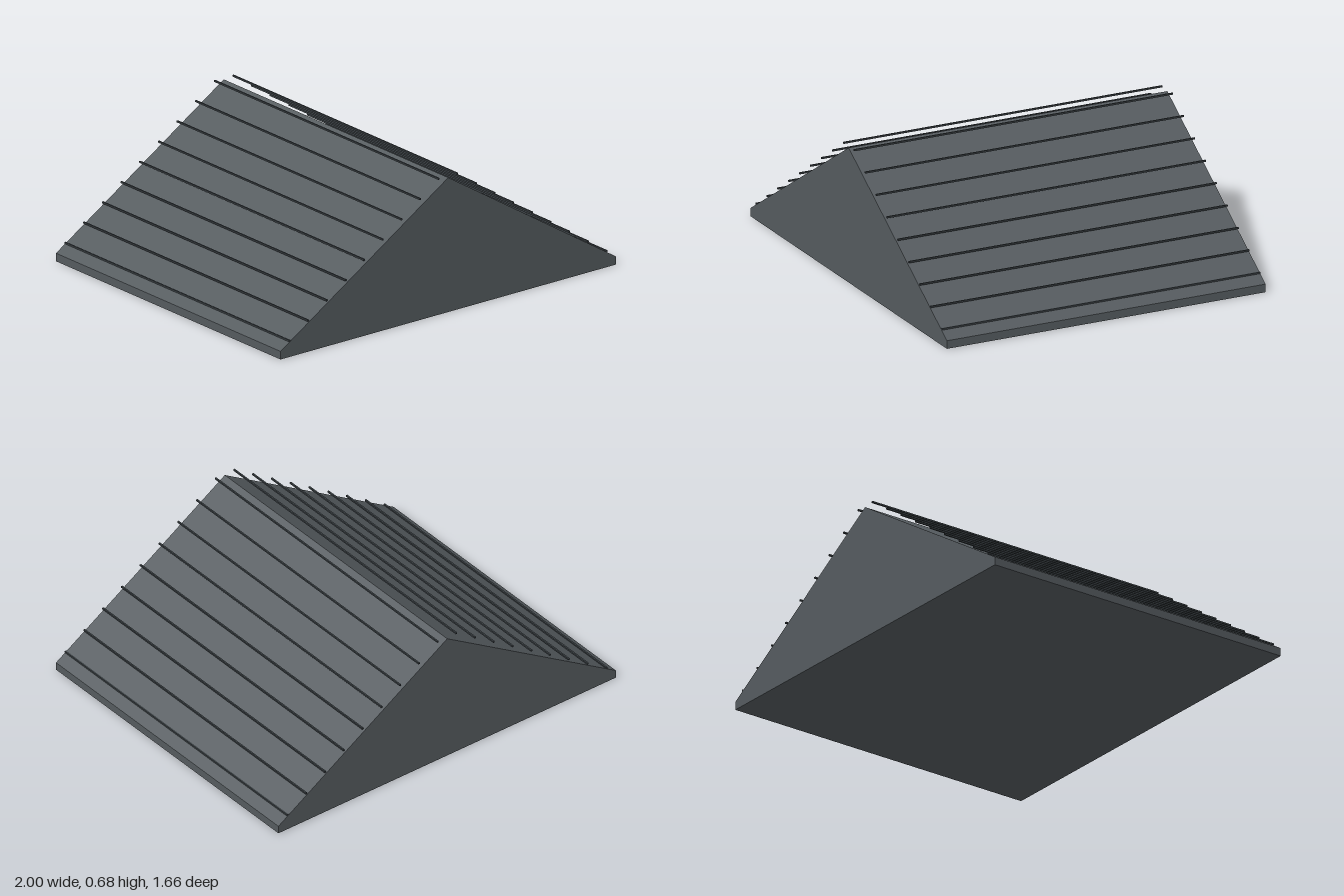
import * as THREE from 'three';

export function createModel() {
  const model = new THREE.Group();
  model.name = 'gableRoof';

  const slate = new THREE.MeshStandardMaterial({ color: 0x555b5f });
  slate.name = 'slate grey';
  const dark = new THREE.MeshStandardMaterial({ color: 0x3a4044 });
  dark.name = 'dark seam grey';

  const depth = 1.664;

  // Solid gable with a low vertical edge at the eaves
  const profile = new THREE.Shape([
    new THREE.Vector2(-1, 0),
    new THREE.Vector2(1, 0),
    new THREE.Vector2(1, 0.04),
    new THREE.Vector2(0, 0.667),
    new THREE.Vector2(-1, 0.04),
  ]);
  const gableGeometry = new THREE.ExtrudeGeometry(profile, { depth, bevelEnabled: false });
  gableGeometry.translate(0, 0, -depth / 2);
  const gable = new THREE.Mesh(gableGeometry, slate);
  gable.name = 'roofBody';
  model.add(gable);

  // Thin battens running front to back, stepping down both slopes
  const count = 9;
  const battenGeometry = new THREE.BoxGeometry(0.008, 0.008, depth);
  for (const side of [-1, 1]) {
    for (let i = 0; i < count; i++) {
      const t = i / (count - 1);
      const batten = new THREE.Mesh(battenGeometry, dark);
      batten.name = side > 0 ? 'leftBatten' : 'rightBatten';
      batten.position.set(
        side * THREE.MathUtils.lerp(0.055, 0.945, t),
        THREE.MathUtils.lerp(0.673, 0.079, t),
        0
      );
      model.add(batten);
    }
  }
  return model;
}
